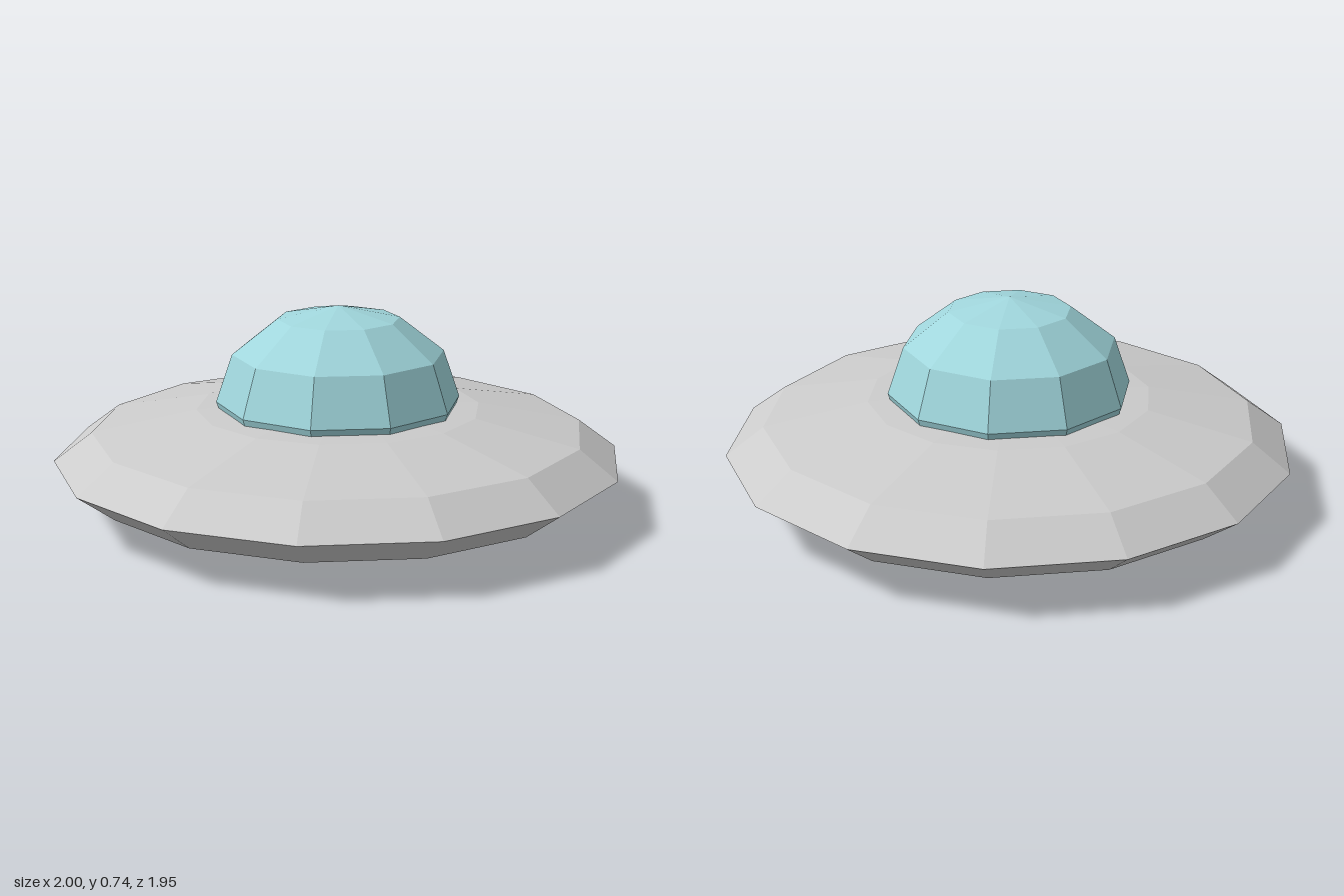
import * as THREE from 'three';

// Faceted ellipsoid with a corner on the x axis
function ellipsoid(name, sides, radius, halfHeight, centreY, color) {
  const geometry = new THREE.SphereGeometry(1, sides, 6);
  geometry.scale(radius, halfHeight, radius);
  const material = new THREE.MeshStandardMaterial({ color, flatShading: true });
  const mesh = new THREE.Mesh(geometry, material);
  mesh.name = name;
  mesh.position.y = centreY;
  return mesh;
}

export function createModel() {
  const model = new THREE.Group();
  model.name = 'flyingSaucer';

  // Wide flattened hull
  model.add(ellipsoid('saucerHull', 14, 1, 0.2, 0.2, 0xcccccc));

  // Blue cockpit dome, its lower half sunk into the hull
  model.add(ellipsoid('cockpitDome', 10, 0.43, 0.335, 0.4, 0xa0d6dc));

  return model;
}
